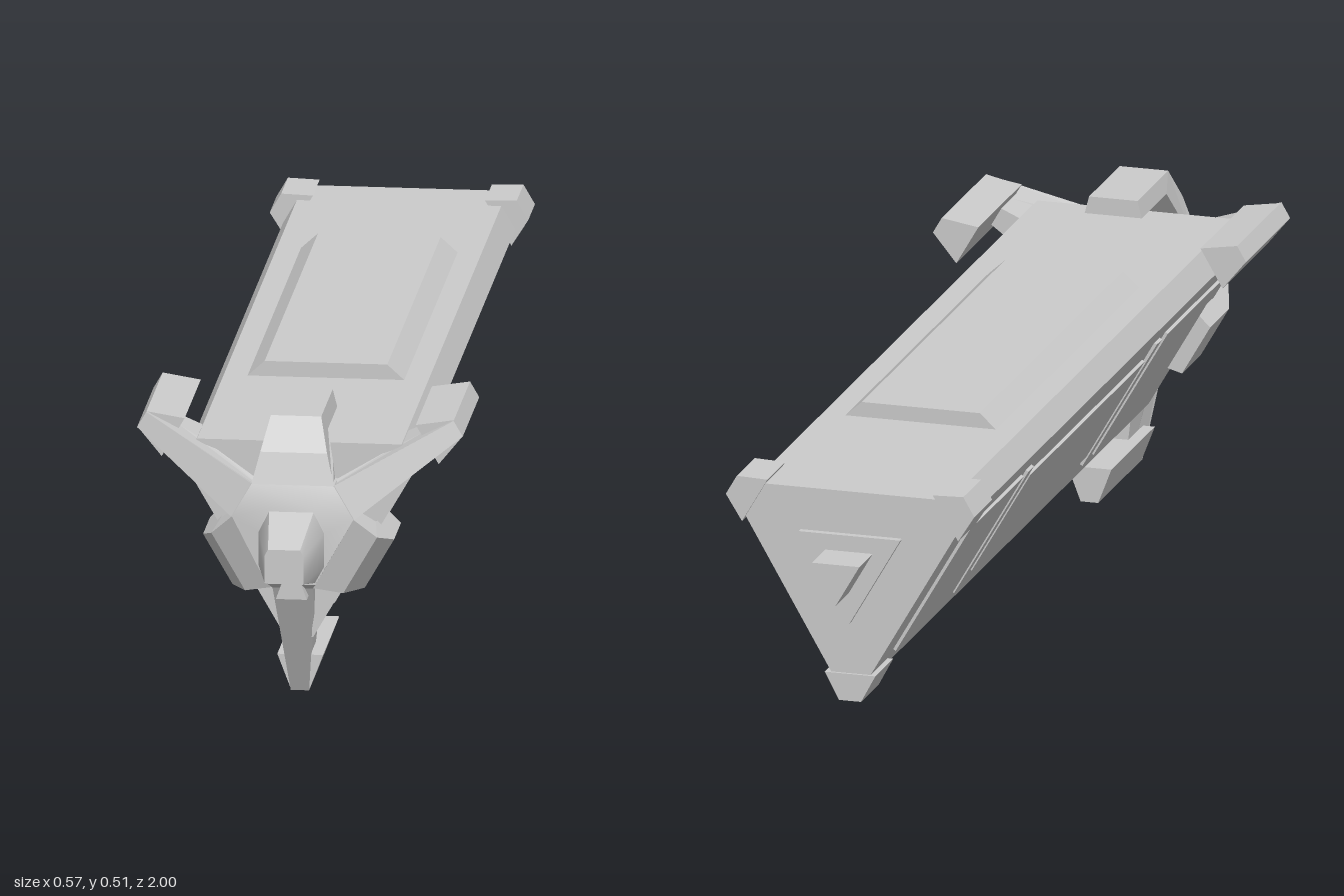
import * as THREE from 'three';
import { toCreasedNormals } from 'three/addons/utils/BufferGeometryUtils.js';
import { ConvexGeometry } from 'three/addons/geometries/ConvexGeometry.js';

const AXIS_Y = 0.319; // height of the long axis
const THIRD = (Math.PI * 2) / 3;
const flat = new THREE.MeshStandardMaterial({ color: 0xcccccc, flatShading: true });
const smooth = new THREE.MeshStandardMaterial({ color: 0xcccccc });

const toShape = (pts) => new THREE.Shape(pts.map(([x, y]) => new THREE.Vector2(x, y)));

// Cross-section in x/y, swept from z0 to z1
function prism(pts, z0, z1) {
  const g = new THREE.ExtrudeGeometry(toShape(pts), { depth: z1 - z0, bevelEnabled: false });
  return g.translate(0, 0, z0);
}

// Trapezoid section between two radii, given the half width at each
const trapezoid = (r0, h0, r1, h1) => [[-h0, r0], [h0, r0], [h1, r1], [-h1, r1]];

// Triangle pointing down with its corners cut off at radius cut
function triangle(inradius, cut) {
  const half = (2 * inradius - cut) * Math.tan(Math.PI / 6);
  const pts = [];
  for (let i = 0; i < 3; i++) {
    const a = -Math.PI / 2 + i * THIRD;
    for (const s of [-1, 1]) {
      pts.push([
        Math.cos(a) * cut - Math.sin(a) * half * s,
        Math.sin(a) * cut + Math.cos(a) * half * s,
      ]);
    }
  }
  return pts;
}

// Side profile in (z, radius), with a half width that depends on the radius
function bracket(profile, halfWidth) {
  const g = new THREE.ExtrudeGeometry(toShape(profile), { depth: 1, bevelEnabled: false });
  const p = g.attributes.position;
  for (let i = 0; i < p.count; i++) {
    const z = p.getX(i), r = p.getY(i), side = 1 - 2 * p.getZ(i);
    p.setXYZ(i, side * halfWidth(r), r, z);
  }
  g.computeVertexNormals();
  return g;
}

const lerp = THREE.MathUtils.lerp;
const legWidth = (r) => (r < 0.081 ? 0.072 : lerp(0.072, 0.044, (r - 0.081) / 0.11));
const armWidth = (r) => {
  if (r < 0.104) return 0.035;
  if (r < 0.256) return lerp(0.035, 0.018, (r - 0.104) / 0.152);
  return lerp(0.018, 0.016, (r - 0.256) / 0.063);
};

export function createModel() {
  const model = new THREE.Group();
  model.name = 'triangularShip';

  // Parts are made around the axis, pointing up, then turned into place
  const add = (name, geometry, angle = 0, material = flat) => {
    const mesh = new THREE.Mesh(geometry, material);
    mesh.name = name;
    mesh.position.y = AXIS_Y;
    mesh.rotation.z = angle;
    model.add(mesh);
    return mesh;
  };

  // Hull
  add('hull', prism(triangle(0.131, 0.22), -0.91, 0.76));
  add('topPanel', prism(trapezoid(0.128, 0.14, 0.158, 0.107), -0.5, 0.34));

  // Raised panels on both lower sides: [z start, z end, half width]
  const panels = [
    [0.35, 0.66, 0.135], [0.285, 0.317, 0.135], [-0.41, 0.26, 0.107],
    [-0.468, -0.435, 0.135], [-0.81, -0.495, 0.135],
  ];
  for (const side of [-1, 1]) {
    for (const [z0, z1, half] of panels) {
      add('sidePanel', prism(trapezoid(0.125, half, 0.1365, half), z0, z1), side * THIRD);
    }
  }

  // Stern plate and triangular prong
  add('sternPlate', prism(triangle(0.054, 0.106), -0.922, -0.9));
  add('sternProng', prism(triangle(0.025, 0.0495), -1, -0.9));

  // Corner blocks at the stern and hooked arms at the bow
  const armProfile = [
    [0.865, 0.06], [0.865, 0.104], [0.75, 0.319], [0.72, 0.319], [0.72, 0.256],
    [0.66, 0.256], [0.66, 0.2], [0.748, 0.2], [0.82, 0.1], [0.82, 0.06],
  ];
  for (let i = 0; i < 3; i++) {
    const angle = Math.PI + i * THIRD;
    add('sternCorner', prism(trapezoid(0.2, 0.046, 0.249, 0.02), -0.915, -0.81), angle);
    add('cornerArm', bracket(armProfile, armWidth), angle);
    add('cornerClaw', prism(trapezoid(0.256, 0.04, 0.319, 0.016), 0.49, 0.745), angle);
  }

  // Tall hook on top, shorter clamps on the lower sides
  add('topHook', bracket([
    [0.865, 0.05], [0.865, 0.081], [0.848, 0.135], [0.81, 0.191], [0.63, 0.191],
    [0.63, 0.16], [0.775, 0.16], [0.81, 0.11], [0.81, 0.05],
  ], legWidth));
  for (const side of [-1, 1]) {
    add('sideClamp', bracket([
      [0.865, 0.05], [0.865, 0.081], [0.84, 0.133], [0.77, 0.163],
      [0.66, 0.163], [0.66, 0.12], [0.77, 0.12], [0.8, 0.05],
    ], legWidth), side * THIRD);
  }

  // Hub joining the arms, flaring into the nose
  const collar = [[0.04, 0.043], [0.06, 0.003], [0.06, -0.059], [0.042, -0.092]];
  const mirrored = (pts, z) =>
    pts.flatMap(([x, y]) => [new THREE.Vector3(x, y, z), new THREE.Vector3(-x, y, z)]);
  const hubRing = [[0.072, 0.081], [0.106, 0.022], [0.035, -0.104]];
  const hub = new ConvexGeometry([
    ...mirrored(hubRing, 0.81), ...mirrored(hubRing, 0.865), ...mirrored(collar, 0.885),
  ]);
  add('hub', toCreasedNormals(hub, 0.7), 0, smooth);
  add('hubCore', prism(triangle(0.07, 0.09), 0.75, 0.82));

  // Nose and chin
  const tip = [[0.028, 0.001], [0.034, -0.01], [0.034, -0.059], [0.03, -0.06]];
  const nose = new ConvexGeometry([
    ...mirrored(collar, 0.87),
    ...mirrored([[0.032, 0.008], [0.037, -0.009], [0.037, -0.061]], 0.97),
    ...mirrored(tip, 1),
  ]);
  add('nose', toCreasedNormals(nose, 0.5), 0, smooth);
  add('chin', prism(trapezoid(-0.119, 0.027, -0.088, 0.016), 0.83, 0.885));

  return model;
}
